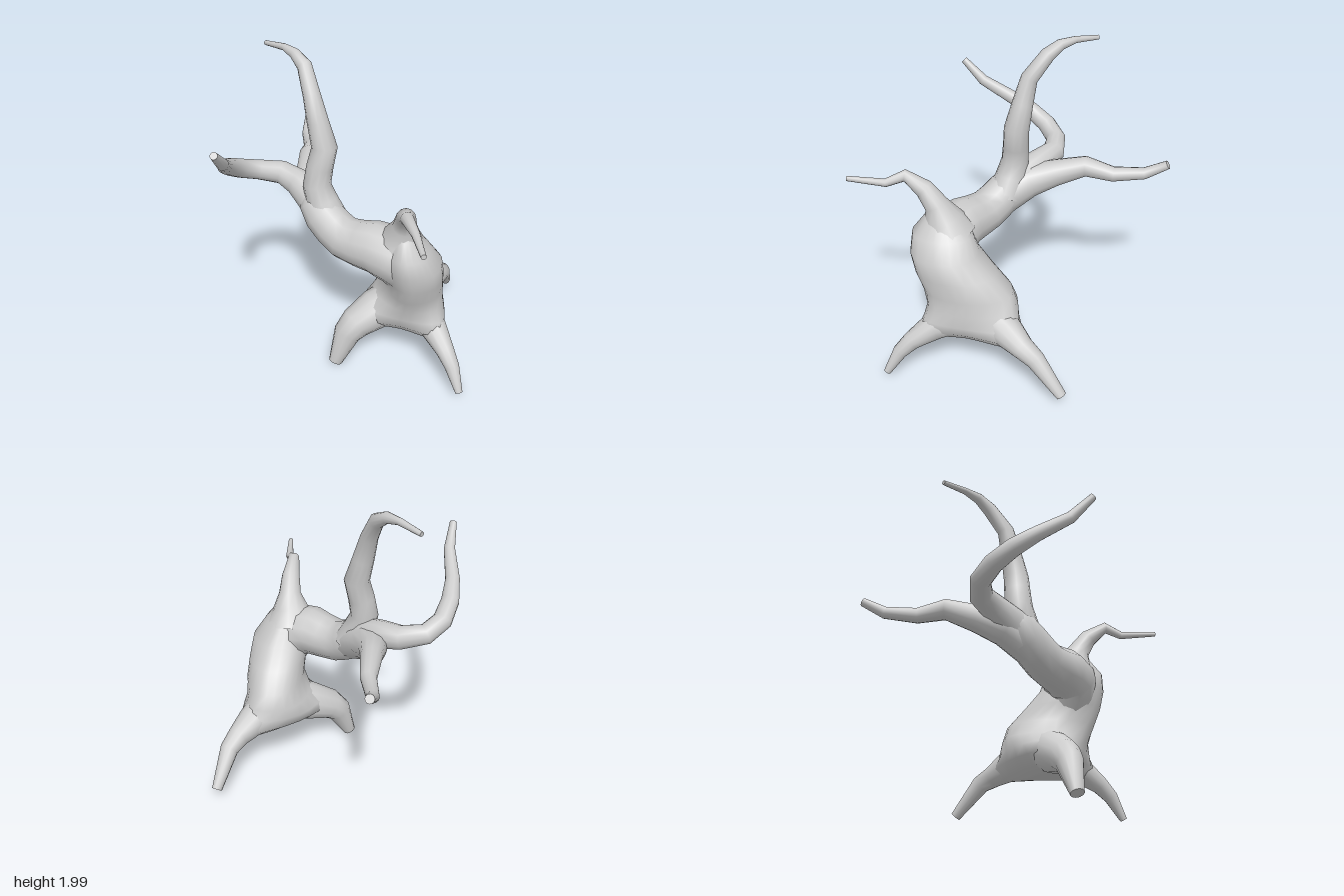
import * as THREE from 'three';

const SIDES = 12;
const bark = new THREE.MeshStandardMaterial({ color: 0xcccccc });

// Skin a stack of closed rings of points and close both ends with flat cuts
function skin(name, rings) {
  const sides = rings[0].length, last = rings.length - 1;
  const pos = rings.flat().flatMap(p => p.toArray()), idx = [];
  for (let i = 0; i < last; i++) {
    for (let j = 0; j < sides; j++) {
      const A = i * sides + j, B = i * sides + (j + 1) % sides;
      idx.push(A, B, B + sides, A, B + sides, A + sides);
    }
  }
  for (const end of [0, last]) {
    const first = pos.length / 3, middle = new THREE.Vector3();
    for (const p of rings[end]) {
      pos.push(p.x, p.y, p.z);
      middle.addScaledVector(p, 1 / sides);
    }
    pos.push(middle.x, middle.y, middle.z);
    for (let j = 0; j < sides; j++) {
      const A = first + j, B = first + (j + 1) % sides;
      idx.push(first + sides, end ? A : B, end ? B : A);
    }
  }
  const geo = new THREE.BufferGeometry();
  geo.setAttribute('position', new THREE.Float32BufferAttribute(pos, 3));
  geo.setIndex(idx);
  geo.computeVertexNormals();
  const mesh = new THREE.Mesh(geo, bark);
  mesh.name = name;
  return mesh;
}

// Round limb: each row is x, y, z, radius, and the rings turn along the path
function limb(name, rows) {
  const path = new THREE.CatmullRomCurve3(rows.map(r => new THREE.Vector3(r[0], r[1], r[2])));
  let tangent = path.getTangent(0);
  const n = Math.abs(tangent.x) > 0.9 ? new THREE.Vector3(0, 1, 0) : new THREE.Vector3(1, 0, 0);
  n.addScaledVector(tangent, -n.dot(tangent)).normalize();
  const turn = new THREE.Quaternion();
  return skin(name, rows.map(([x, y, z, r], i) => {
    const next = path.getTangent(i / (rows.length - 1));
    n.applyQuaternion(turn.setFromUnitVectors(tangent, next));
    tangent = next;
    const b = new THREE.Vector3().crossVectors(tangent, n);
    return Array.from({ length: SIDES }, (_, j) => {
      const a = j / SIDES * Math.PI * 2;
      return new THREE.Vector3(x, y, z)
        .addScaledVector(n, Math.cos(a) * r).addScaledVector(b, Math.sin(a) * r);
    });
  }));
}

// Level trunk ring, drawn smoothly through six x, z pairs
function levelRing(y, pairs) {
  const loop = new THREE.CatmullRomCurve3(pairs.map(([x, z]) => new THREE.Vector3(x, y, z)), true);
  return Array.from({ length: 24 }, (_, j) => loop.getPoint(j / 24));
}

// Six pairs around an oval, starting on the side root's side
function oval(x, z, rx, rz) {
  return [170, 110, 50, -10, -70, -130].map(d => {
    const a = THREE.MathUtils.degToRad(d);
    return [x + Math.cos(a) * rx, z + Math.sin(a) * rz];
  });
}

export function createModel() {
  const tree = new THREE.Group();
  tree.name = 'bareTree';

  // Lower trunk: flares into three corners at the roots, an oval leaning forward above.
  // Corner order: side root, front hollow, front root, left hollow, back root, back hollow
  tree.add(skin('lowerTrunk', [
    levelRing(0.265, [[0.28, 0.23], [0.38, 0.28], [0.50, 0.30], [0.50, 0.18], [0.48, 0.04], [0.38, 0.12]]),
    levelRing(0.29, [[0.12, 0.28], [0.36, 0.36], [0.58, 0.45], [0.58, 0.19], [0.60, -0.13], [0.31, 0.06]]),
    levelRing(0.35, [[0.06, 0.30], [0.35, 0.41], [0.61, 0.50], [0.63, 0.19], [0.63, -0.18], [0.25, 0.00]]),
    levelRing(0.42, [[0.11, 0.27], [0.35, 0.43], [0.60, 0.46], [0.65, 0.19], [0.60, -0.13], [0.24, -0.02]]),
    levelRing(0.50, [[0.20, 0.25], [0.37, 0.45], [0.58, 0.43], [0.635, 0.18], [0.54, -0.10], [0.28, -0.05]]),
    levelRing(0.60, oval(0.44, 0.21, 0.195, 0.305)),
    levelRing(0.72, oval(0.43, 0.29, 0.195, 0.27)),
    levelRing(0.84, oval(0.41, 0.36, 0.195, 0.225)),
    levelRing(0.95, oval(0.38, 0.38, 0.145, 0.20)),
    levelRing(1.05, oval(0.36, 0.39, 0.08, 0.11)),
    levelRing(1.12, oval(0.36, 0.41, 0.05, 0.06)),
  ]));

  // Upper trunk, sweeping sideways to the fork
  tree.add(limb('upperTrunk', [
    [0.42, 0.66, 0.30, 0.14],
    [0.36, 0.82, 0.35, 0.175],
    [0.28, 0.89, 0.35, 0.18],
    [0.18, 0.905, 0.305, 0.165],
    [0.09, 0.895, 0.255, 0.15],
    [0.00, 0.90, 0.20, 0.14],
    [-0.07, 0.94, 0.145, 0.135],
    [-0.14, 1.00, 0.085, 0.13],
    [-0.20, 1.075, 0.035, 0.105],
    [-0.22, 1.13, 0.015, 0.06],
  ]));

  const branches = {
    frontBranch: [
      [0.34, 0.93, 0.36, 0.18], [0.345, 1.03, 0.385, 0.125], [0.355, 1.13, 0.42, 0.075],
      [0.355, 1.23, 0.49, 0.06], [0.35, 1.305, 0.61, 0.038], [0.395, 1.265, 0.72, 0.026],
      [0.42, 1.28, 0.96, 0.016]],
    tallBranch: [
      [-0.10, 0.97, 0.09, 0.12], [-0.15, 1.09, 0.06, 0.105], [-0.18, 1.20, 0.04, 0.09],
      [-0.16, 1.32, 0.03, 0.085], [-0.13, 1.45, 0.02, 0.082], [-0.17, 1.61, -0.01, 0.068],
      [-0.205, 1.77, -0.045, 0.055], [-0.25, 1.915, -0.15, 0.047],
      [-0.31, 1.965, -0.22, 0.035], [-0.38, 1.978, -0.30, 0.022], [-0.505, 1.96, -0.425, 0.015]],
    curvedBranch: [
      [-0.13, 1.00, 0.07, 0.12], [-0.22, 1.085, -0.02, 0.11], [-0.31, 1.135, -0.10, 0.09],
      [-0.42, 1.165, -0.175, 0.077], [-0.57, 1.19, -0.165, 0.066], [-0.67, 1.245, -0.08, 0.063],
      [-0.715, 1.32, 0.04, 0.058], [-0.728, 1.40, 0.18, 0.047],
      [-0.705, 1.52, 0.38, 0.037], [-0.725, 1.65, 0.52, 0.023]],
    backBranch: [
      [-0.10, 0.96, 0.11, 0.125], [-0.20, 1.05, -0.05, 0.115], [-0.25, 1.10, -0.22, 0.09],
      [-0.25, 1.17, -0.42, 0.068], [-0.245, 1.135, -0.60, 0.05],
      [-0.28, 1.145, -0.80, 0.039], [-0.27, 1.23, -0.945, 0.028]],
  };

  const roots = {
    sideRoot: [
      [0.34, 0.42, 0.20, 0.14], [0.20, 0.36, 0.24, 0.135], [0.07, 0.295, 0.305, 0.108],
      [0.01, 0.23, 0.335, 0.09], [-0.065, 0.025, 0.375, 0.045]],
    frontRoot: [
      [0.50, 0.40, 0.28, 0.12], [0.57, 0.345, 0.41, 0.09], [0.64, 0.26, 0.54, 0.06],
      [0.68, 0.19, 0.61, 0.048], [0.725, 0.045, 0.69, 0.024]],
    backRoot: [
      [0.50, 0.42, 0.04, 0.12], [0.57, 0.38, -0.08, 0.105], [0.645, 0.335, -0.19, 0.075],
      [0.69, 0.295, -0.28, 0.062], [0.75, 0.09, -0.455, 0.034]],
  };

  for (const [name, rows] of Object.entries({ ...branches, ...roots })) tree.add(limb(name, rows));
  return tree;
}
